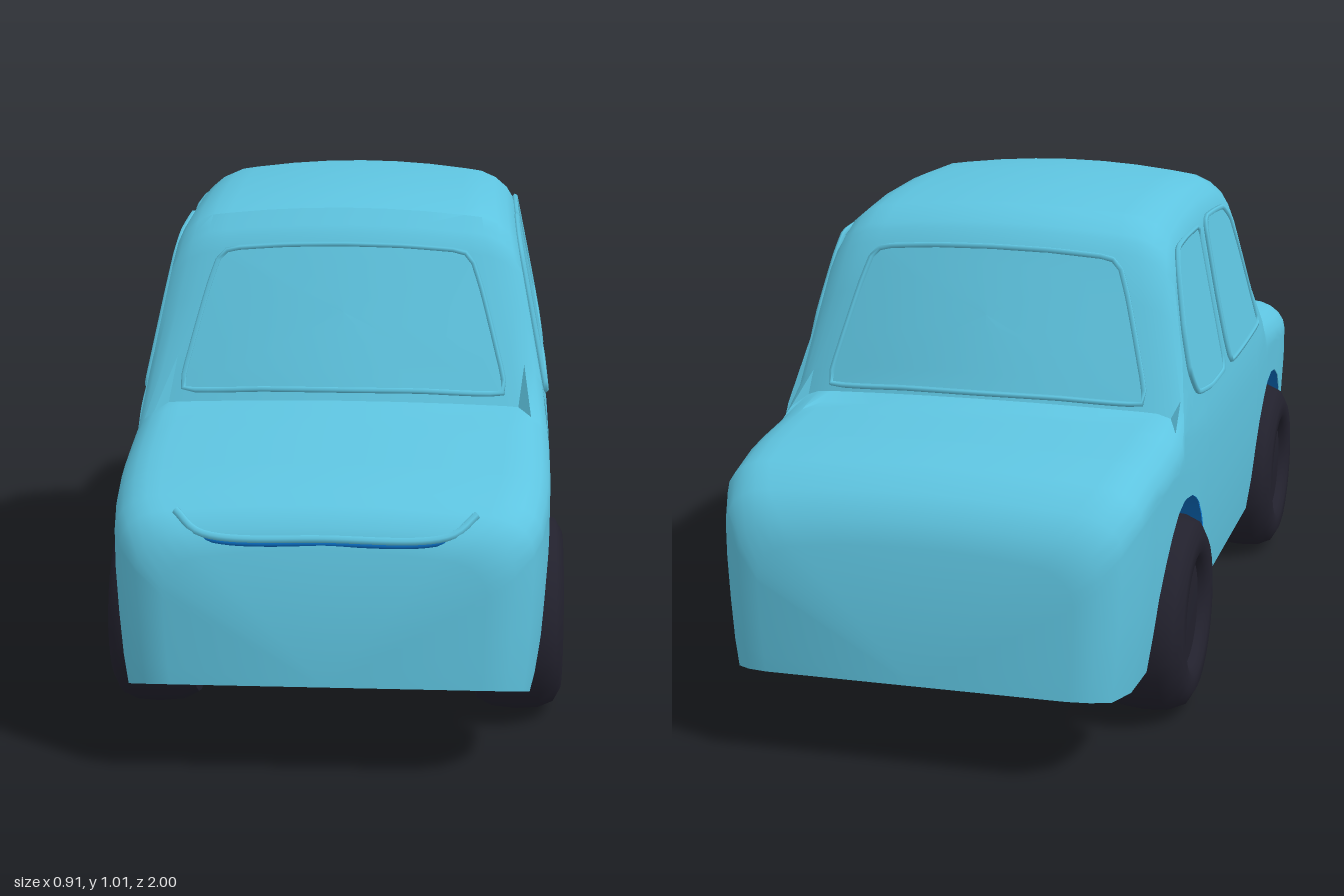
import * as THREE from 'three';
import { mergeVertices, toCreasedNormals } from 'three/addons/utils/BufferGeometryUtils.js';

const V = (x, y, z) => new THREE.Vector3(x, y, z);
const lerp = THREE.MathUtils.lerp;

// Piecewise linear lookup in a list of [key, value] pairs
function lookup(table, k) {
  if (k <= table[0][0]) return table[0][1];
  for (let i = 1; i < table.length; i++) {
    const [a, b] = [table[i - 1], table[i]];
    if (k <= b[0]) return lerp(a[1], b[1], (k - a[0]) / (b[0] - a[0]));
  }
  return table[table.length - 1][1];
}

// Roof line, plan width, side bulge and floor line of the car
const TOP = [[-1, 0.46], [-0.985, 0.505], [-0.95, 0.55], [-0.88, 0.585], [-0.78, 0.603], [-0.6, 0.615],
  [-0.55, 0.63], [-0.43, 0.93], [-0.4, 0.965], [-0.34, 0.995], [-0.2, 1.01], [0, 1.015], [0.2, 1.007],
  [0.29, 0.99], [0.33, 0.945], [0.47, 0.62], [0.8, 0.578], [0.9, 0.56], [0.95, 0.545], [0.985, 0.515], [1, 0.475]];
const PLAN = [[-1, 0.72], [-0.985, 0.82], [-0.95, 0.905], [-0.88, 0.96], [-0.7, 0.985], [-0.3, 1],
  [0.3, 1], [0.7, 0.985], [0.88, 0.955], [0.95, 0.9], [0.985, 0.82], [1, 0.7]];
const SIDE = [[0.165, 0.41], [0.25, 0.422], [0.4, 0.43], [0.52, 0.43], [0.58, 0.425], [0.9, 0.36], [1, 0.34]];
const FLOOR = [[-1, 0.185], [-0.93, 0.165], [0.9, 0.165], [1, 0.205]];
const AXLES = [0.55, -0.53];
const ARCH_W = 0.24, ARCH_H = 0.28, INNER = 0.26, CROWN = 0.015;

// Lower edge of the body side, rising over the wheel arches
function sill(z) {
  let y = lookup(FLOOR, z);
  for (const c of AXLES) {
    const t = (z - c) / ARCH_W;
    if (Math.abs(t) < 1) y = Math.max(y, 0.165 + ARCH_H * Math.sqrt(1 - t * t));
  }
  return y;
}
const halfWidth = (y, z) => lookup(SIDE, y) * lookup(PLAN, z);
const bow = (x) => 1 - 0.1 * (x / 0.4) ** 2;

// Half section from the sill up to the centre line, then mirrored
function bodySection(z) {
  const top = lookup(TOP, z), bottom = sill(z);
  const k = THREE.MathUtils.clamp((top - 0.6) / 0.35, 0, 1);
  const rx = lerp(0.09, 0.12, k), ry = lerp(0.07, 0.1, k);
  const shoulder = top - CROWN - ry, belt = Math.min(0.58, shoulder - 0.015);
  const half = [];
  for (const t of [0, 0.2, 0.5, 0.8, 1]) half.push([0, lerp(bottom, belt, t)]);
  for (const t of [0.5, 1]) half.push([0, lerp(belt, shoulder, t)]);
  for (const p of half) p[0] = halfWidth(p[1], z);
  const cx = halfWidth(shoulder, z) - rx;
  for (let i = 1; i <= 5; i++) {
    const a = i * Math.PI / 10;
    half.push([cx + rx * Math.cos(a), shoulder + ry * Math.sin(a)]);
  }
  for (const t of [0.66, 0.33, 0]) half.push([cx * t, top - CROWN * t * t]);
  const all = [...half, ...half.slice(0, -1).reverse().map(([x, y]) => [-x, y])];
  return all.map(([x, y]) => V(x, y, y > 0.6 && Math.abs(z) < 0.6 ? z * bow(x) : z));
}

// Floor with wheel wells
function floorSection(z) {
  const yb = sill(z), yf = lookup(FLOOR, z), w = halfWidth(yb, z) - 0.002;
  return [[-w, yb], [-INNER, yb], [-INNER, yf], [INNER, yf], [INNER, yb], [w, yb]].map(([x, y]) => V(x, y, z));
}

// Skin over a list of equally long rows of points
function loft(rows, closed = false) {
  const n = rows[0].length, index = [];
  for (let i = 0; i < rows.length - 1; i++) {
    for (let j = 0; j < (closed ? n : n - 1); j++) {
      const j2 = (j + 1) % n;
      const a = i * n + j, b = a + n, d = i * n + j2, c = d + n;
      index.push(a, d, c, a, c, b);
    }
  }
  const g = new THREE.BufferGeometry().setFromPoints(rows.flat());
  g.setIndex(index);
  return g;
}

export function createModel() {
  const car = new THREE.Group();
  car.name = 'car';
  const material = (name, color, side = THREE.FrontSide) => {
    const m = new THREE.MeshStandardMaterial({ color, side });
    m.name = name;
    return m;
  };
  const paint = material('lightBluePaint', 0x5ec4e0, THREE.DoubleSide);
  const under = material('deepBlueUnderside', 0x0a6abb, THREE.DoubleSide);
  const rubber = material('blackRubber', 0x22212d);
  const add = (name, geometry, mat) => {
    const m = new THREE.Mesh(geometry, mat);
    m.name = name;
    car.add(m);
    return m;
  };

  // Stations along the car, with extra ones around the arches
  const zs = TOP.map((p) => p[0]);
  for (const c of AXLES) for (let i = 0; i <= 12; i++) zs.push(c + ARCH_W * Math.cos(i * Math.PI / 12));
  zs.sort((a, b) => a - b);
  const stations = zs.filter((z, i) => i === 0 || z - zs[i - 1] > 0.002);

  // Body shell, closed at nose and tail
  const rows = stations.map(bodySection);
  const cap = (z) => rows[0].map(() => V(0, sill(z), z));
  const shell = loft([cap(-1), ...rows, cap(1)]);
  add('body', toCreasedNormals(mergeVertices(shell, 1e-5), 0.65), paint);
  add('underbody', toCreasedNormals(loft(stations.map(floorSection)), 0.6), under);

  // Window: curved panel with a fine raised rim
  const addWindow = (name, outline, map) => {
    const n = outline.length;
    const cu = outline.reduce((s, p) => s + p[0], 0) / n;
    const cv = outline.reduce((s, p) => s + p[1], 0) / n;
    const rings = [0, 0.25, 0.5, 0.75, 1].map((t) => outline.map(([u, v]) => map(lerp(cu, u, t), lerp(cv, v, t))));
    const panel = loft(rings, true);
    panel.computeVertexNormals();
    add(name, panel, paint);
    const rim = new THREE.CatmullRomCurve3(rings[4], true, 'catmullrom', 0.2);
    add(name + 'Rim', new THREE.TubeGeometry(rim, 64, 0.006, 5, true), paint);
  };

  // Side windows
  const frontDoor = [[0.335, 0.615], [0.325, 0.67], [0.28, 0.8], [0.24, 0.88], [0.18, 0.915], [0.08, 0.923],
    [-0.01, 0.925], [-0.03, 0.9], [-0.04, 0.76], [-0.035, 0.66], [-0.015, 0.61], [0.15, 0.608]];
  const rearDoor = [[-0.1, 0.64], [-0.1, 0.8], [-0.1, 0.91], [-0.12, 0.922], [-0.24, 0.922], [-0.325, 0.915],
    [-0.36, 0.87], [-0.405, 0.76], [-0.415, 0.68], [-0.38, 0.63], [-0.25, 0.612], [-0.12, 0.612]];
  for (const [s, side] of [[1, 'left'], [-1, 'right']]) {
    const map = (z, y) => V(s * (lookup(SIDE, y) + 0.004), y, z);
    addWindow(side + 'FrontWindow', frontDoor, map);
    addWindow(side + 'RearWindow', rearDoor, map);
  }

  // Windscreen and rear window, following the bowed slopes
  const screen = [[0.33, 0.632], [0.315, 0.72], [0.285, 0.83], [0.262, 0.895], [0.235, 0.91], [0.12, 0.92], [0, 0.923],
    [-0.12, 0.92], [-0.235, 0.91], [-0.262, 0.895], [-0.285, 0.83], [-0.315, 0.72], [-0.33, 0.632],
    [-0.16, 0.64], [0, 0.642], [0.16, 0.64]];
  const slopes = { windscreen: [[0.62, 0.47], [0.945, 0.33]], rearWindow: [[0.63, -0.55], [0.93, -0.43]] };
  for (const [name, slope] of Object.entries(slopes)) {
    const s = Math.sign(slope[0][1]);
    addWindow(name, screen, (x, y) => {
      const drop = CROWN * Math.min(1, (x / 0.3) ** 2);
      return V(x, y, lookup(slope, y + drop) * bow(x) + s * 0.006);
    });
  }

  // Bonnet lip with the slot under it
  const lip = (dy, reach) => new THREE.CatmullRomCurve3([[-0.28, 0.532, 0.95], [-0.23, 0.5, 0.984], [0, 0.494, 0.992],
    [0.23, 0.5, 0.984], [0.28, 0.532, 0.95]].map(([x, y, z]) => V(x * reach, y + dy, z)));
  add('bonnetLip', new THREE.TubeGeometry(lip(0, 1), 40, 0.008, 6), paint);
  add('bonnetSlot', new THREE.TubeGeometry(lip(-0.009, 0.97), 40, 0.006, 6), under);

  // Wheels with a dished hub
  const tyre = new THREE.LatheGeometry([[0, -0.09], [0.15, -0.09], [0.182, -0.08], [0.198, -0.05], [0.203, 0],
    [0.2, 0.045], [0.187, 0.075], [0.16, 0.09], [0.128, 0.09], [0.115, 0.08], [0.108, 0.068], [0, 0.072]]
    .map(([x, y]) => new THREE.Vector2(x, y)), 28);
  const wheelShape = toCreasedNormals(tyre, 0.7);
  for (const [z, end] of [[AXLES[0], 'front'], [AXLES[1], 'rear']]) {
    for (const [s, side] of [[1, 'Left'], [-1, 'Right']]) {
      const wheel = add(end + side + 'Wheel', wheelShape, rubber);
      wheel.position.set(s * 0.365, 0.205, z);
      wheel.rotation.z = -s * Math.PI / 2;
    }
  }
  return car;
}
